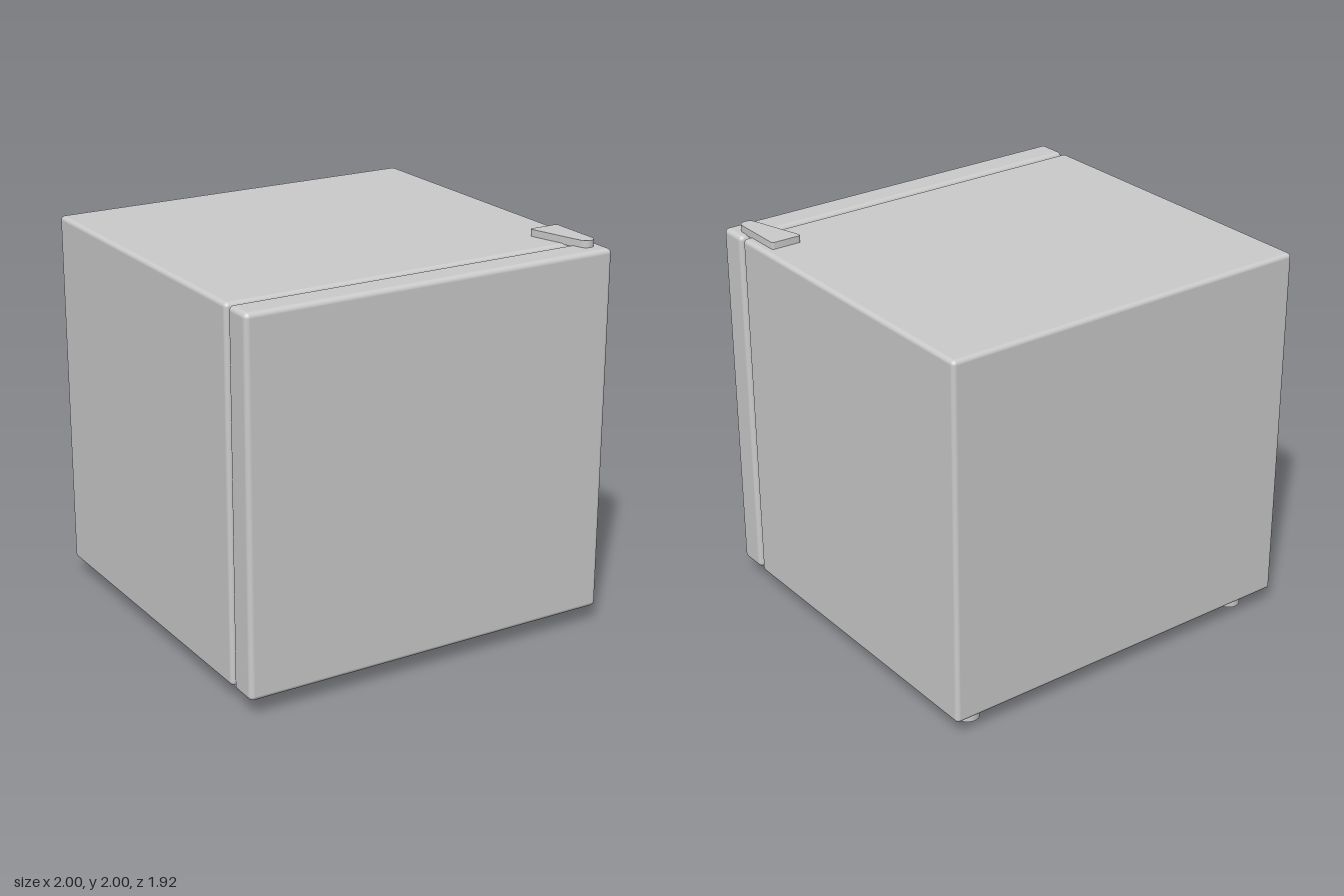
import * as THREE from 'three';
import { RoundedBoxGeometry } from 'three/addons/geometries/RoundedBoxGeometry.js';
import { toCreasedNormals } from 'three/addons/utils/BufferGeometryUtils.js';

const material = new THREE.MeshStandardMaterial({ color: 0xcccccc });

export function createModel() {
  const group = new THREE.Group();

  const add = (name, geometry, x = 0, y = 0, z = 0) => {
    const mesh = new THREE.Mesh(geometry, material);
    mesh.name = name;
    mesh.position.set(x, y, z);
    group.add(mesh);
  };

  // Box with rounded edges, given by its y and z extents
  const roundedBox = (name, width, y0, y1, z0, z1, radius) =>
    add(name, new RoundedBoxGeometry(width, y1 - y0, z1 - z0, 5, radius), 0, (y0 + y1) / 2, (z0 + z1) / 2);

  // Cabinet and door, with the recessed seal in the gap between them
  roundedBox('cabinet', 2, 0.09, 1.965, -0.96, 0.78, 0.022);
  roundedBox('door', 2, 0.09, 1.965, 0.8, 0.96, 0.025);
  add('doorSeal', new THREE.BoxGeometry(1.92, 1.755, 0.06), 0, 1.0075, 0.79);

  // Tapered hinge cover on top, outlined in x and z
  const outline = new THREE.Shape();
  outline.moveTo(0.81, 0.572);
  outline.lineTo(0.942, 0.572);
  outline.quadraticCurveTo(0.957, 0.572, 0.957, 0.587);
  outline.lineTo(0.957, 0.852);
  outline.absarc(0.917, 0.852, 0.04, 0, Math.PI * 0.92, false);
  outline.lineTo(0.798, 0.595);
  outline.quadraticCurveTo(0.792, 0.572, 0.81, 0.572);
  const hinge = new THREE.ExtrudeGeometry(outline, { depth: 0.04, bevelEnabled: false, curveSegments: 12 });
  hinge.rotateX(Math.PI / 2);
  add('hingeCover', toCreasedNormals(hinge, 0.6), 0, 2, 0);

  // Four round feet
  const foot = new THREE.CylinderGeometry(0.06, 0.06, 0.1, 32);
  for (const [end, z] of [['front', 0.625], ['back', -0.82]]) {
    for (const [side, x] of [['Left', 0.84], ['Right', -0.84]]) {
      add(`${end}${side}Foot`, foot, x, 0.05, z);
    }
  }

  return group;
}
